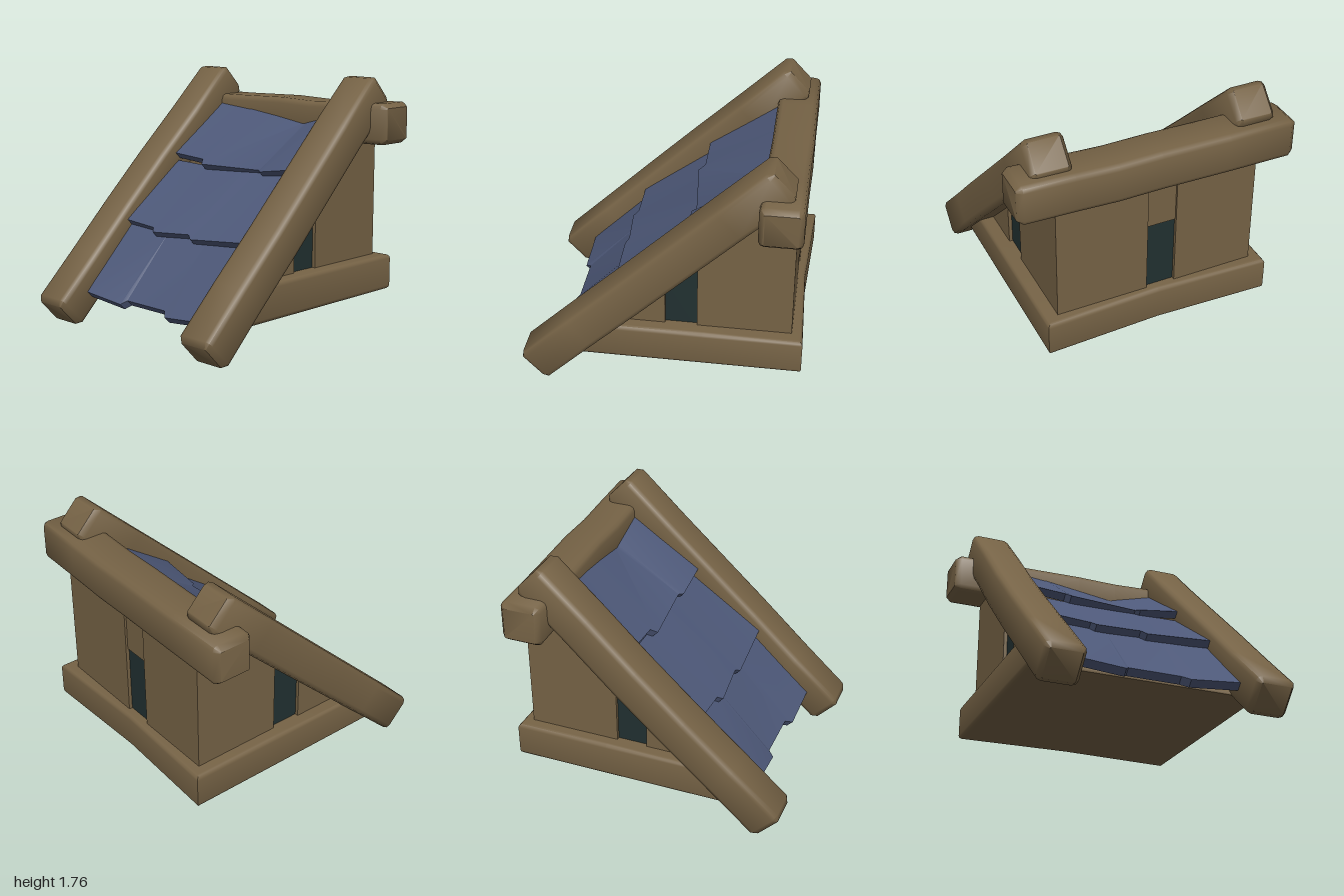
import * as THREE from 'three';
import { toCreasedNormals } from 'three/addons/utils/BufferGeometryUtils.js';

const V = (x, y, z) => new THREE.Vector3(x, y, z);

// Solid skin over a list of equal-sized rings, capped at both ends
function loft(rings, crease) {
  const n = rings[0].length, last = (rings.length - 1) * n, index = [];
  for (let i = 0; i < rings.length - 1; i++) {
    for (let j = 0; j < n; j++) {
      const a = i * n + j, b = i * n + (j + 1) % n;
      index.push(a, b, a + n, b, b + n, a + n);
    }
  }
  for (let j = 1; j < n - 1; j++) index.push(0, j + 1, j, last, last + j, last + j + 1);
  const g = new THREE.BufferGeometry().setFromPoints(rings.flat());
  g.setIndex(index);
  return toCreasedNormals(g, crease);
}

// Rounded square timber following a slightly crooked path
function timber(path, u, width, height, r = 0.04) {
  const d = path[path.length - 1].clone().sub(path[0]).normalize();
  const v = d.clone().cross(u);
  const ring = (c, inset) => {
    const pts = [];
    for (let k = 0; k < 4; k++) {
      const mid = Math.PI / 4 + k * Math.PI / 2;
      const cu = Math.sign(Math.cos(mid)) * (width / 2 - r);
      const cv = Math.sign(Math.sin(mid)) * (height / 2 - r);
      for (let s = -1; s <= 1; s++) {
        const a = mid + s * Math.PI / 4;
        pts.push(c.clone()
          .addScaledVector(u, cu + Math.cos(a) * (r - inset))
          .addScaledVector(v, cv + Math.sin(a) * (r - inset)));
      }
    }
    return pts;
  };
  const rings = [];
  path.forEach((p, i) => {
    if (i === 0) rings.push(ring(p, r * 0.8), ring(p.clone().addScaledVector(d, r), 0));
    else if (i === path.length - 1) rings.push(ring(p.clone().addScaledVector(d, -r), 0), ring(p, r * 0.8));
    else rings.push(ring(p, 0));
  });
  return loft(rings, 0.9);
}

// Row of roof boards; each slice is [x, topY, topZ, bottomY, bottomZ]
function shingleRow(slices) {
  const t = 0.042;
  return loft(slices.map(([x, ty, tz, by, bz]) => [
    V(x, ty, tz), V(x, by, bz), V(x, by - t, bz - t), V(x, ty - t, tz - t),
  ]), 0.35);
}

// Flat board from a [z, y] outline, its thickness running along x
function sideBoard(points, thickness) {
  const shape = new THREE.Shape(points.map(([z, y]) => new THREE.Vector2(z, y)));
  const g = new THREE.ExtrudeGeometry(shape, { depth: thickness, bevelEnabled: false });
  return g.rotateY(-Math.PI / 2).translate(thickness / 2, 0, 0);
}

export function createModel() {
  const wood = new THREE.MeshStandardMaterial({ color: 0x756245 });
  wood.name = 'brown wood';
  const blue = new THREE.MeshStandardMaterial({ color: 0x4d5878 });
  blue.name = 'blue shingle';
  const dark = new THREE.MeshStandardMaterial({ color: 0x213031 });
  dark.name = 'dark opening';

  const model = new THREE.Group();
  model.name = 'woodenShelter';
  const add = (name, geometry, material, x = 0, y = 0, z = 0) => {
    const m = new THREE.Mesh(geometry, material);
    m.name = name;
    m.position.set(x, y, z);
    model.add(m);
  };

  // Sloping rafters
  const X = V(1, 0, 0);
  const rafter = xs => timber(xs.map((x, i) => {
    const t = i / (xs.length - 1);
    return V(x, 0.11 + 1.61 * t, 0.89 - 1.70 * t);
  }), X, 0.285, 0.27);
  add('rightRafter', rafter([-0.705, -0.715, -0.73, -0.735, -0.725, -0.725]), wood);
  add('leftRafter', rafter([0.76, 0.75, 0.75, 0.74, 0.73, 0.73]), wood);

  // Ridge beam across the top
  add('ridgeBeam', timber([
    V(-0.995, 1.445, -0.805), V(-0.5, 1.448, -0.805), V(0, 1.46, -0.81),
    V(0.3, 1.452, -0.805), V(0.6, 1.465, -0.805), V(0.995, 1.477, -0.805),
  ], V(0, 1, 0), 0.29, 0.29), wood);

  // Base slab, its front leaning back beneath the roof
  const b = 0.03;
  const plan = new THREE.Shape([
    [-0.79, -0.57], [0.80, -0.57], [0.80, 0.3], [0.80, 0.95], [0, 0.92], [-0.79, 0.95], [-0.79, 0.3],
  ].map(([x, y]) => new THREE.Vector2(x, y)));
  const base = new THREE.ExtrudeGeometry(plan, {
    depth: 0.26 - 2 * b, bevelThickness: b, bevelSize: b, bevelSegments: 3,
  }).rotateX(-Math.PI / 2).translate(0, 0.23 + b, 0);
  const p = base.attributes.position;
  for (let i = 0; i < p.count; i++) {
    if (p.getZ(i) > 0.35) p.setZ(i, p.getZ(i) - (p.getY(i) - 0.23) * 0.75);
  }
  add('baseSlab', toCreasedNormals(base, 0.7), wood);

  // Side walls: two boards with a dark slot between them
  for (const [side, s] of [['left', 1], ['right', -1]]) {
    add(side + 'RearBoard', sideBoard(
      [[-0.89, 0.4], [-0.25, 0.4], [-0.25, 1.08], [-0.55, 1.37], [-0.89, 1.4]], 0.08), wood, s * 0.69);
    add(side + 'FrontBoard', sideBoard(
      [[-0.03, 0.4], [0.42, 0.4], [0.42, 0.45], [-0.03, 0.88]], 0.08), wood, s * 0.69);
    add(side + 'Slot', sideBoard(
      [[-0.27, 0.4], [-0.01, 0.4], [-0.01, 0.86], [-0.27, 1.1]], 0.04), dark, s * 0.685);
  }

  // Back wall: two boards, a slot and the filler above it
  const backBoard = (name, x0, x1, y0, y1, z, material) =>
    add(name, new THREE.BoxGeometry(x1 - x0, y1 - y0, 0.06), material, (x0 + x1) / 2, (y0 + y1) / 2, z);
  backBoard('backBoardRight', -0.73, -0.14, 0.4, 1.4, -0.87, wood);
  backBoard('backBoardLeft', 0.07, 0.73, 0.4, 1.4, -0.87, wood);
  backBoard('backFiller', -0.14, 0.07, 1.0, 1.4, -0.855, wood);
  backBoard('backSlot', -0.14, 0.07, 0.4, 1.0, -0.845, dark);

  // Three overlapping rows of uneven shingles
  add('upperShingles', shingleRow([
    [-0.62, 1.54, -0.68, 1.18, -0.17], [-0.30, 1.51, -0.68, 1.16, -0.17],
    [-0.27, 1.51, -0.68, 1.13, -0.125], [0.26, 1.44, -0.68, 1.135, -0.18],
    [0.29, 1.45, -0.68, 1.13, -0.15], [0.62, 1.54, -0.68, 1.18, -0.155],
  ]), blue);
  add('middleShingles', shingleRow([
    [-0.62, 1.12, -0.2, 0.735, 0.325], [-0.30, 1.11, -0.2, 0.715, 0.33],
    [-0.27, 1.11, -0.2, 0.69, 0.365], [0.07, 1.11, -0.2, 0.715, 0.335],
    [0.11, 1.11, -0.2, 0.69, 0.36], [0.62, 1.12, -0.2, 0.735, 0.335],
  ]), blue);
  add('lowerShingles', shingleRow([
    [-0.62, 0.70, 0.28, 0.265, 0.73], [-0.21, 0.70, 0.28, 0.235, 0.73],
    [-0.18, 0.70, 0.28, 0.26, 0.69], [0.20, 0.70, 0.28, 0.26, 0.69],
    [0.25, 0.70, 0.28, 0.23, 0.735], [0.62, 0.70, 0.28, 0.265, 0.735],
  ]), blue);

  return model;
}
